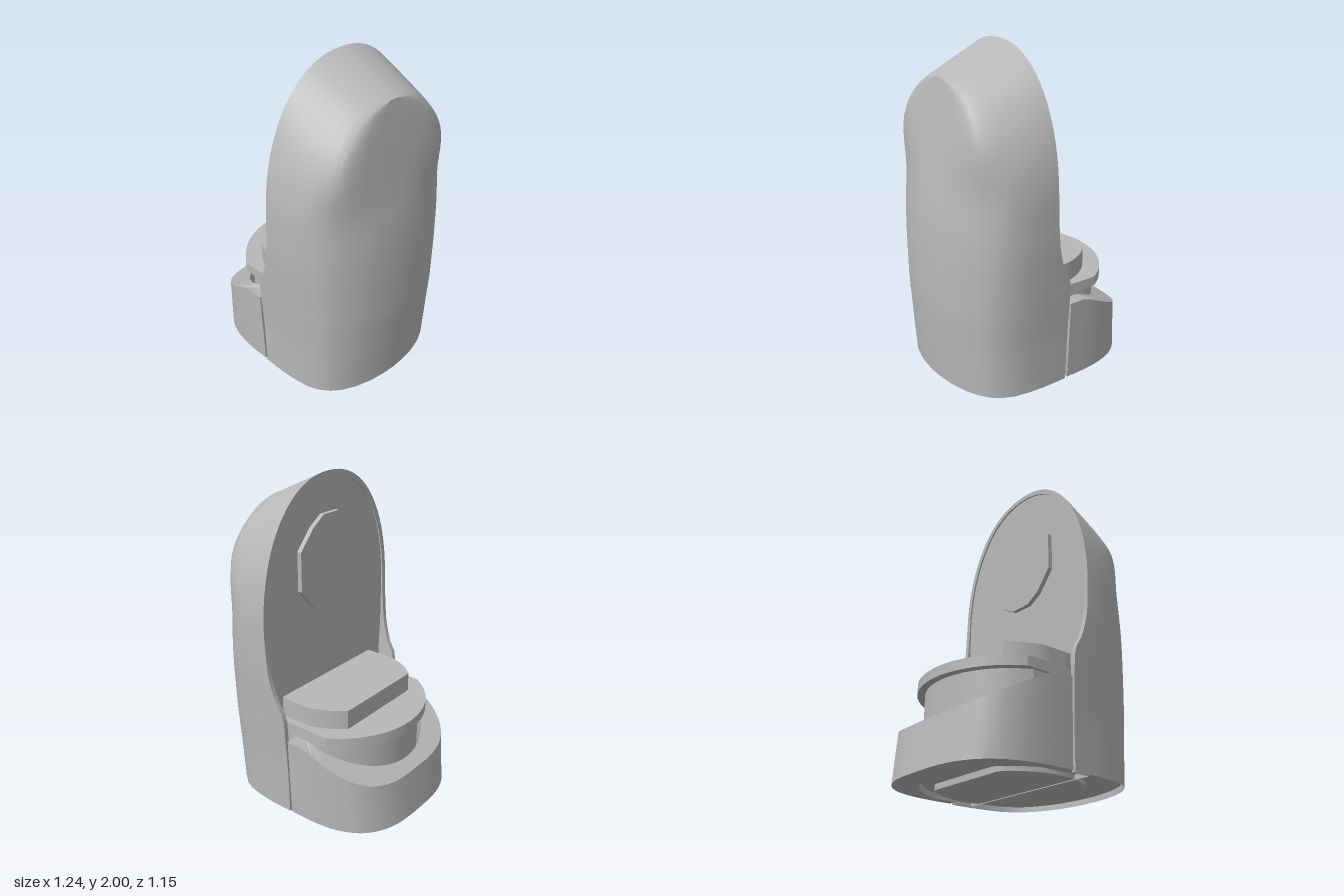
import * as THREE from 'three';
import { toCreasedNormals } from 'three/addons/utils/BufferGeometryUtils.js';

const smooth = THREE.MathUtils.smoothstep;

// Piecewise linear lookup in a list of [key, value]
function lookup(list, k) {
  for (let i = 1; i < list.length; i++) {
    const [a, va] = list[i - 1], [b, vb] = list[i];
    if (k <= b) return va + (vb - va) * Math.max(0, (k - a) / (b - a));
  }
  return list[list.length - 1][1];
}

// Surface through a grid of points, point(i, j) -> [x, y, z]
function gridSurface(nu, nv, point, crease = 0.6) {
  const pos = [], idx = [];
  for (let i = 0; i <= nu; i++) for (let j = 0; j <= nv; j++) pos.push(...point(i, j));
  for (let i = 0; i < nu; i++) for (let j = 0; j < nv; j++) {
    const a = i * (nv + 1) + j, b = a + nv + 1;
    idx.push(a, a + 1, b, b, a + 1, b + 1);
  }
  const g = new THREE.BufferGeometry();
  g.setAttribute('position', new THREE.Float32BufferAttribute(pos, 3));
  g.setIndex(idx);
  return toCreasedNormals(g, crease);
}

// Upright slab from a plan outline of [x, z] points
function slab(points, y0, y1) {
  const shape = new THREE.Shape(points.map(([x, z]) => new THREE.Vector2(x, -z)));
  const g = new THREE.ExtrudeGeometry(shape, { depth: y1 - y0, bevelEnabled: false });
  g.rotateX(-Math.PI / 2).translate(0, y0, 0);
  return toCreasedNormals(g, 0.4);
}

// Circle clipped to a rectangle
function clippedDisc(r, xMin, xMax, zMax, cz = -0.015) {
  const pts = [];
  for (let i = 0; i < 72; i++) {
    const a = (i / 72) * Math.PI * 2;
    const x = THREE.MathUtils.clamp(r * Math.cos(a), xMin, xMax);
    const lim = Math.min(zMax, Math.sqrt(r * r - x * x));
    const z = THREE.MathUtils.clamp(r * Math.sin(a), -lim, lim);
    const last = pts[pts.length - 1];
    if (!last || Math.hypot(last[0] - x, last[1] - cz - z) > 1e-4) pts.push([x, z + cz]);
  }
  return pts;
}

// Profiles of the tall shell by height
const frontX = [[0, -0.02], [0.65, -0.02], [0.7, -0.005], [0.74, 0.025], [0.82, 0.055], [0.92, 0.077], [1.05, 0.088], [1.2, 0.095]];
const backX = [[0, 0.59], [0.25, 0.607], [0.5, 0.62], [0.8, 0.615], [1, 0.605], [1.15, 0.59], [1.5, 0.537], [1.82, 0.487]];
const halfWidth = [[0, 0.53], [0.3, 0.537], [0.6, 0.556], [0.9, 0.573], [1.15, 0.575]];
// Plan section [x, width factor] low down and, squarer, near the top
const planLow = [[0.15, 1], [0.25, 0.985], [0.35, 0.955], [0.42, 0.9], [0.48, 0.82], [0.53, 0.7], [0.57, 0.55], [0.6, 0.36], [0.615, 0.18], [0.62, 0]];
const planTop = [[0.15, 1], [0.25, 0.99], [0.36, 0.975], [0.46, 0.96], [0.54, 0.94], [0.59, 0.9], [0.612, 0.8], [0.62, 0.6], [0.62, 0.3], [0.62, 0]];

function shellPoint(i, j) {
  const side = i < 40 ? 1 : -1;
  const k = 40 - Math.abs(i - 40);
  let y, z;
  if (k <= 20) {
    y = (k / 20) * 1.15;
    z = lookup(halfWidth, y);
  } else {
    const a = ((k - 20) / 20) * Math.PI / 2;
    y = 1.15 + 0.85 * Math.sin(a) ** 0.91;
    z = k === 40 ? 0 : 0.575 * Math.cos(a) ** 0.91;
  }
  const t = smooth(y, 1.15, 1.9), rise = smooth(y, 1, 1.9);
  // Recessed panel, then the rim, then the outer skin
  if (j < 3) return [j < 2 ? 0.105 : lookup(frontX, y), y - 0.03 * rise, side * z * (j === 0 ? 0 : 0.95)];
  if (j === 3) return [lookup(frontX, y), y, side * z];
  const [xa, sa] = planLow[j - 4], [xb, sb] = planTop[j - 4];
  const depth = (lookup(backX, y - 0.18 * rise) - 0.095) / 0.525;
  const x = 0.095 + (xa + (xb - xa) * t - 0.095) * depth;
  const drop = 0.18 * rise * Math.min(1, (x - 0.095) / 0.385);
  return [x, y - drop, side * z * (sa + (sb - sa) * t)];
}

// Low collar: each column is a closed loop of outer and inner wall
function collarPoint(i, j) {
  const a = (i / 48) * Math.PI;
  const c = Math.sin(a), s = Math.cos(a);
  const ox = 0.59 * Math.pow(Math.max(c, 0), 2 / 3);
  const oz = 0.53 * Math.sign(s) * Math.abs(s) ** (2 / 3);
  const ix = Math.min(-0.035, -0.51 * c);
  const iz = THREE.MathUtils.clamp(0.51 * s, -0.47, 0.47);
  const topY = (x) => lookup([[-0.585, 0.29], [-0.22, 0.48], [-0.17, 0.503], [-0.13, 0.513], [0, 0.513]], x);
  const outerTop = [-0.035 - ox * 0.94, 0, oz * 1.035];
  outerTop[1] = topY(outerTop[0]);
  const innerTop = [ix, topY(ix), iz];
  return [[-0.035 - ox, 0.005, oz], outerTop, innerTop, [ix, 0.005, iz], [-0.035 - ox, 0.005, oz]][j];
}

export function createModel() {
  const model = new THREE.Group();
  const grey = new THREE.MeshStandardMaterial({ color: 0xb8b8b8, side: THREE.DoubleSide });
  grey.name = 'matte grey';
  const add = (name, geometry) => {
    const mesh = new THREE.Mesh(geometry, grey);
    mesh.name = name;
    model.add(mesh);
    return mesh;
  };

  // Tall rounded shell with its recessed panel
  add('tallShell', gridSurface(80, 13, shellPoint));

  // Floor inside the shell
  const floor = [[-0.02, 0.53]];
  for (const [x, s] of planLow) floor.push([0.095 + (x - 0.095) * 0.94, 0.53 * s]);
  for (const [x, s] of planLow.slice(0, -1).reverse()) floor.push([0.095 + (x - 0.095) * 0.94, -0.53 * s]);
  floor.push([-0.02, -0.53]);
  add('shellFloor', slab(floor.map(([x, z]) => [x * 0.98, z * 0.98]), 0.03, 0.05));

  // Low collar around the column, with closed ends
  add('frontCollar', gridSurface(48, 4, collarPoint));
  for (const i of [0, 48]) {
    const end = gridSurface(1, 1, (u, v) => collarPoint(i, u ? 3 - v : v));
    add('collarEnd', end);
  }

  // Column, flange and D-shaped pedestal
  add('column', slab(clippedDisc(0.495, -0.5, 0.1, 0.45), 0.04, 0.55));
  add('flange', slab(clippedDisc(0.54, -0.54, 0.1, 0.47), 0.54, 0.6));
  add('pedestal', slab(clippedDisc(0.435, -0.31, 0.1, 0.425), 0.6, 0.72));

  // D-shaped foot under the column
  add('foot', slab(clippedDisc(0.425, -0.31, 0.43, 0.425), 0.005, 0.045));

  // Faceted plate on the panel
  const half = [[0.07, 1.76], [0.16, 1.7], [0.27, 1.58], [0.27, 1.34], [0.16, 1.21], [0.07, 1.16]];
  const outline = [...half, ...half.map(([z, y]) => [-z, y]).reverse()];
  const plate = new THREE.ExtrudeGeometry(
    new THREE.Shape(outline.map(([z, y]) => new THREE.Vector2(z, y))),
    { depth: 0.03, bevelEnabled: false });
  plate.rotateY(-Math.PI / 2).translate(0.106, 0, 0);
  add('facetedPlate', plate);

  return model;
}
